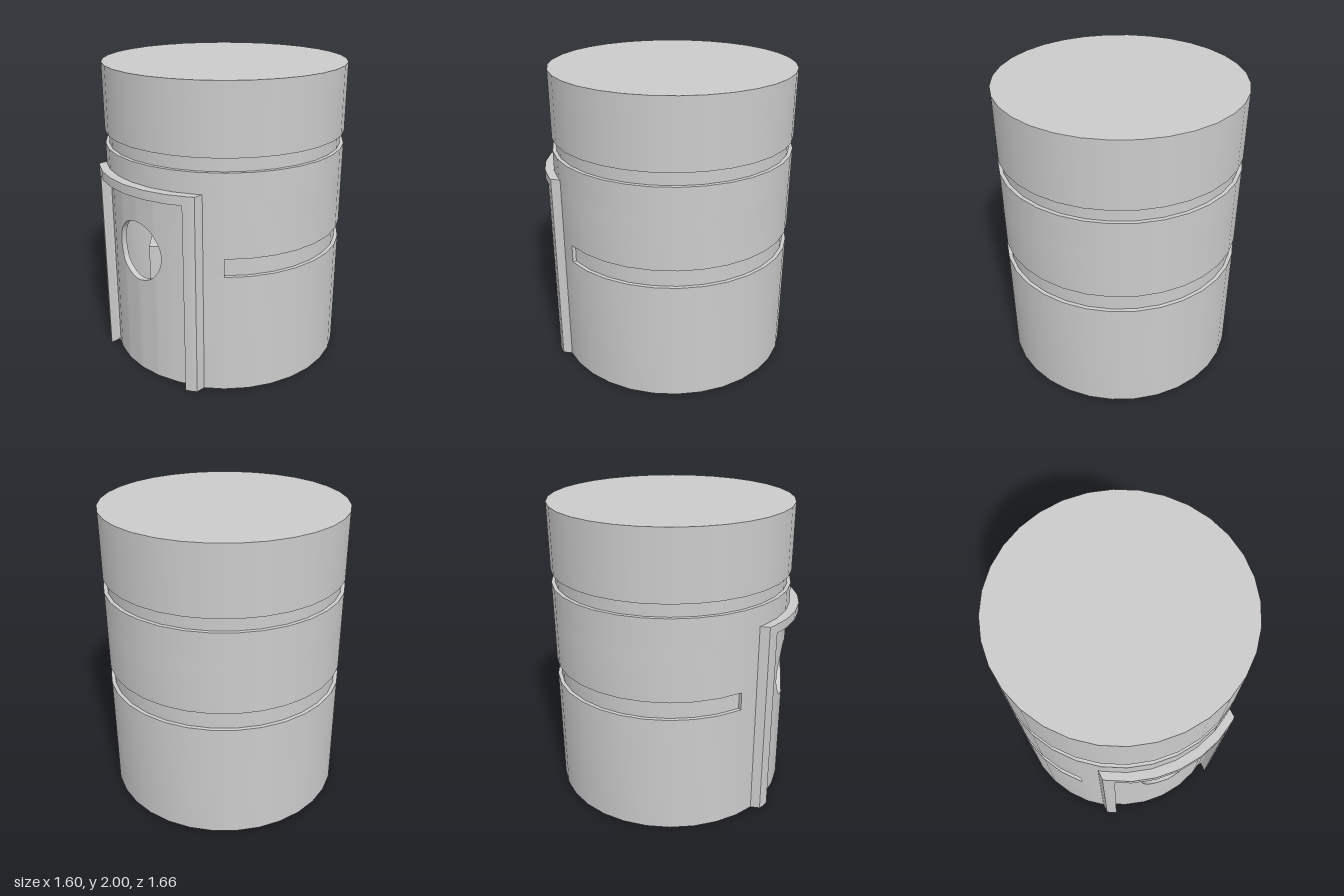
import * as THREE from 'three';
import { mergeGeometries, toCreasedNormals } from 'three/addons/utils/BufferGeometryUtils.js';

const R = 0.8, GROOVE_R = 0.775, INNER_R = 0.75, CZ = -0.033;
const STEP = Math.PI / 16; // 32-sided body
const JAMB_IN = Math.asin(0.4 / R), JAMB_OUT = Math.asin(0.465 / R);
const DOOR_TOP = 1.275;

// Points of the 32-sided outline between two angles (0 = front), as (x, -z)
function arc(r, a0, a1, shift = 0) {
  const angles = [a0];
  for (let k = Math.floor(a0 / STEP + 1e-6) + 1; k * STEP < a1 - 1e-6; k++) angles.push(k * STEP);
  angles.push(a1);
  return angles.map((a) => {
    const local = a - Math.floor(a / STEP + 1e-6) * STEP;
    const d = r * Math.cos(STEP / 2) / Math.cos(local - STEP / 2);
    return new THREE.Vector2(d * Math.sin(a), -d * Math.cos(a) - shift);
  });
}

// Extrude a plan outline upward from y0 to y1
function prism(points, y0, y1) {
  const g = new THREE.ExtrudeGeometry(new THREE.Shape(points), { depth: y1 - y0, bevelEnabled: false });
  g.rotateX(-Math.PI / 2);
  g.translate(0, y0, CZ);
  return toCreasedNormals(g, 0.5);
}

// Curved wall section
const sector = (r, rIn, a0, a1, y0, y1) =>
  prism([...arc(r, a0, a1), ...arc(rIn, a0, a1).reverse()], y0, y1);

// Full solid drum
function drum(r, y0, y1) {
  const g = new THREE.CylinderGeometry(r, r, y1 - y0, 32);
  g.translate(0, (y0 + y1) / 2, CZ);
  return g;
}

// Curved door plate with a round window, built from narrow columns
function doorGeometry() {
  const hole = 0.2, cy = 0.87, thick = 0.04, r = R - 0.015;
  const front = arc(r, -Math.PI / 2, Math.PI / 2);
  const zAt = (x) => {
    let i = 0;
    while (i < front.length - 2 && front[i + 1].x < x) i++;
    const p = front[i], q = front[i + 1];
    return -(p.y + (q.y - p.y) * (x - p.x) / (q.x - p.x)) + CZ;
  };
  const xs = [-0.4, -0.306];
  for (let i = 0; i <= 24; i++) xs.push(-hole * Math.cos(Math.PI * i / 24));
  xs.push(0.306, 0.4);
  const half = (x) => Math.sqrt(Math.max(0, hole * hole - x * x));
  const parts = [];
  for (let i = 0; i < xs.length - 1; i++) {
    const a = xs[i], b = xs[i + 1];
    const outlines = [
      [[a, 0], [b, 0], [b, cy - half(b)], [a, cy - half(a)]],
      [[a, cy + half(a)], [b, cy + half(b)], [b, DOOR_TOP], [a, DOOR_TOP]],
    ];
    for (const o of outlines) {
      const shape = new THREE.Shape(o.map(([x, y]) => new THREE.Vector2(x, y)));
      const g = new THREE.ExtrudeGeometry(shape, { depth: thick, bevelEnabled: false });
      const p = g.attributes.position;
      for (let v = 0; v < p.count; v++) p.setZ(v, p.getZ(v) - thick + zAt(p.getX(v)));
      parts.push(g);
    }
  }
  return toCreasedNormals(mergeGeometries(parts), 0.5);
}

export function createModel() {
  const group = new THREE.Group();
  const material = new THREE.MeshStandardMaterial({ color: 0xcccccc, side: THREE.DoubleSide });
  const add = (name, geometry, mat = material) => {
    const mesh = new THREE.Mesh(geometry, mat);
    mesh.name = name;
    group.add(mesh);
  };
  const a0 = JAMB_IN, a1 = 2 * Math.PI - JAMB_IN, grooveEnd = Math.PI / 4;

  // Hollow lower body, open at the doorway
  add('floor', prism(arc(R - 0.002, a0, a1), 0, 0.01));
  add('lowerWall', sector(R, INNER_R, a0, a1, 0, 0.805));
  add('lowerGroove', sector(GROOVE_R, INNER_R, grooveEnd, 2 * Math.PI - grooveEnd, 0.805, 0.925));
  add('grooveStopLeft', sector(R, INNER_R, a0, grooveEnd, 0.805, 0.925));
  add('grooveStopRight', sector(R, INNER_R, 2 * Math.PI - grooveEnd, a1, 0.805, 0.925));
  add('middleWall', sector(R, INNER_R, a0, a1, 0.925, DOOR_TOP));

  // Solid upper body
  add('upperWall', drum(R, DOOR_TOP, 1.47));
  add('upperGroove', drum(GROOVE_R, 1.47, 1.557));
  add('topDrum', drum(R, 1.557, 2));

  // Door frame standing out from the body
  const frame = (from, to, y0, y1) =>
    prism([...arc(R, from, to, 0.062), ...arc(R, from, to, -0.04).reverse()], y0, y1);
  add('frameLeft', frame(JAMB_IN, JAMB_OUT, 0, DOOR_TOP));
  add('frameRight', frame(-JAMB_OUT, -JAMB_IN, 0, DOOR_TOP));
  add('frameTop', frame(-JAMB_OUT, JAMB_OUT, DOOR_TOP, 1.335));

  add('door', doorGeometry());

  // Square post inside, seen through the window
  const post = new THREE.CylinderGeometry(0.13, 0.13, 0.86, 4);
  post.translate(0, 0.44, 0.525);
  const flat = material.clone();
  flat.flatShading = true;
  add('innerPost', post, flat);

  return group;
}
